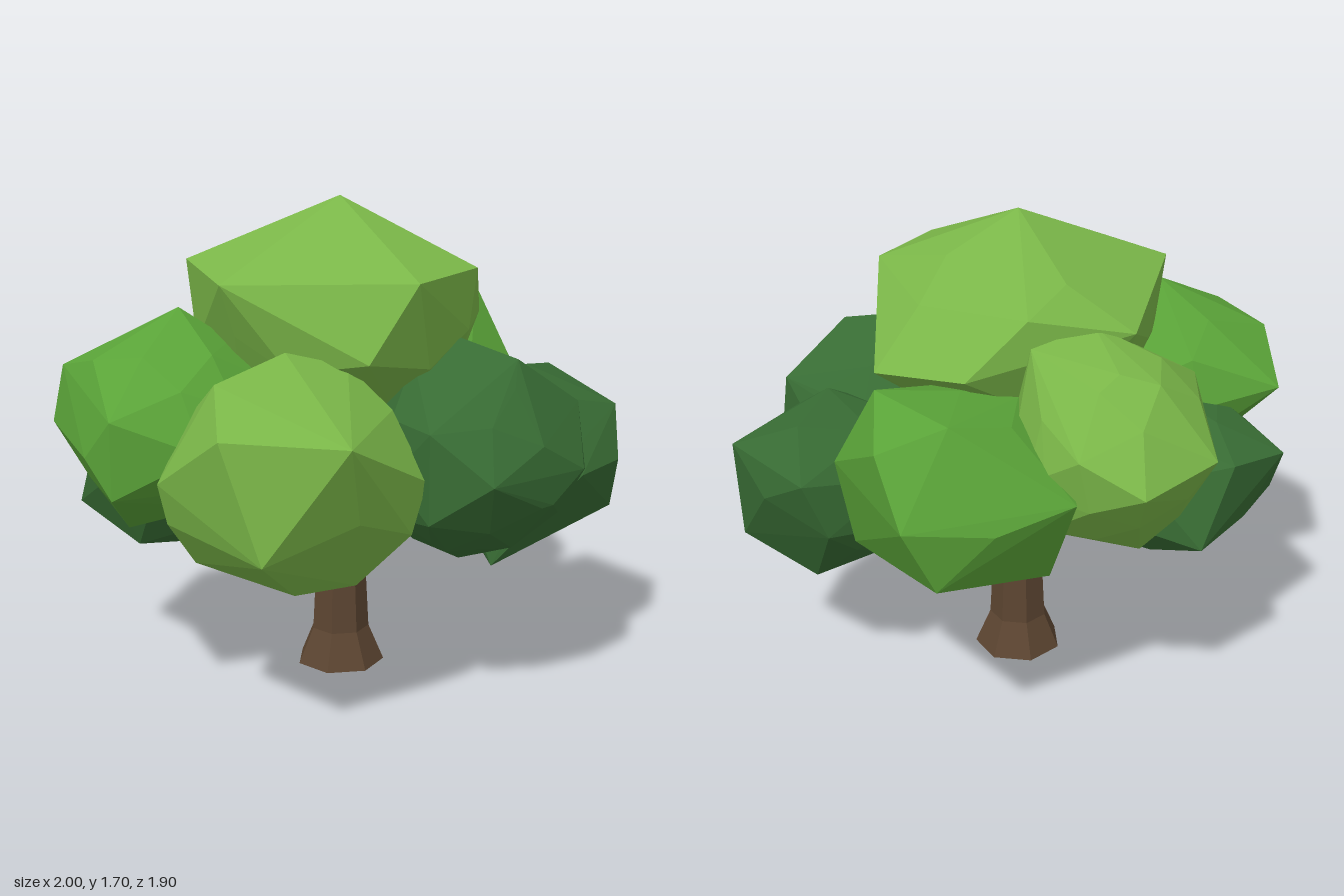
import * as THREE from 'three';
import { ConvexGeometry } from 'three/addons/geometries/ConvexGeometry.js';

const material = (color) => new THREE.MeshStandardMaterial({ color, flatShading: true, roughness: 1 });

// Faceted lump: a coarse ellipsoid wrapped together with its prominent corners
function foliageGeometry(centre, radii, corners) {
  const pos = new THREE.IcosahedronGeometry(0.93, 1).attributes.position;
  const unique = new Map();
  for (let i = 0; i < pos.count; i++) {
    const p = new THREE.Vector3().fromBufferAttribute(pos, i);
    const key = p.toArray().map((n) => Math.round(n * 1000)).join();
    unique.set(key, p.multiply(radii).add(centre));
  }
  return new ConvexGeometry([...unique.values(), ...corners.map((c) => new THREE.Vector3(...c))]);
}

// Tapered limb between two points
function limb(from, to, r0, r1, mat) {
  const dir = to.clone().sub(from);
  const mesh = new THREE.Mesh(new THREE.CylinderGeometry(r1, r0, dir.length(), 5), mat);
  mesh.position.copy(from).addScaledVector(dir, 0.5);
  mesh.quaternion.setFromUnitVectors(new THREE.Vector3(0, 1, 0), dir.normalize());
  return mesh;
}

export function createModel() {
  const tree = new THREE.Group();
  tree.name = 'tree';
  const bark = material(0x5c4531);
  const light = material(0x7ab648);
  const medium = material(0x5aa338);
  const dark = material(0x386c34);

  // Seven-sided trunk with flared foot
  const profile = [[0, 0], [0.16, 0], [0.105, 0.13], [0.078, 0.66], [0, 0.66]];
  const trunk = new THREE.Mesh(
    new THREE.LatheGeometry(profile.map(([r, y]) => new THREE.Vector2(r, y)), 7), bark);
  trunk.rotation.y = Math.PI;
  trunk.name = 'trunk';
  tree.add(trunk);

  // One leaf clump and the branch that carries it
  function addClump(name, mat, centreXYZ, radiiXYZ, corners) {
    const centre = new THREE.Vector3(...centreXYZ);
    const radii = new THREE.Vector3(...radiiXYZ);
    const clump = new THREE.Mesh(foliageGeometry(centre, radii, corners), mat);
    clump.name = name + 'Foliage';
    const start = new THREE.Vector3(centre.x * 0.08, 0.58, centre.z * 0.08);
    const branch = limb(start, centre, 0.034, 0.02, bark);
    branch.name = name + 'Branch';
    tree.add(clump, branch);
  }

  // Light clumps
  addClump('crown', light, [0, 1.27, 0.03], [0.5, 0.36, 0.5], [
    [0, 1.7, 0], [0.25, 1.56, 0], [0.17, 1.47, 0.53], [-0.53, 1.49, -0.02], [-0.45, 1.45, 0.33],
    [0.42, 1.48, 0.28], [0.11, 1.48, -0.46], [-0.06, 1.54, -0.33], [0.32, 1.3, -0.47],
    [0.55, 1.25, -0.19], [0, 1.22, 0.57], [-0.25, 1.4, -0.47], [-0.5, 1.2, 0]]);
  addClump('front', light, [-0.26, 0.88, 0.53], [0.4, 0.35, 0.4], [
    [-0.26, 1.26, 0.51], [-0.5, 1.2, 0.67], [-0.05, 1.2, 0.46], [-0.51, 1.07, 0.87],
    [-0.12, 1.05, 0.95], [-0.39, 0.69, 0.93], [-0.06, 0.53, 0.68], [-0.27, 0.54, 0.77],
    [0.12, 0.69, 0.68], [0.17, 0.86, 0.67], [0.08, 1.07, 0.55], [-0.68, 0.88, 0.63],
    [-0.65, 0.74, 0.6], [-0.56, 0.59, 0.55]]);
  addClump('back', light, [-0.14, 1.07, -0.54], [0.35, 0.34, 0.37], [
    [-0.11, 1.06, -0.95], [-0.39, 1.1, -0.84], [-0.12, 1.36, -0.67], [-0.12, 1.43, -0.43],
    [0.11, 1.4, -0.49], [-0.5, 1.2, -0.38], [-0.38, 0.78, -0.59], [-0.2, 0.74, -0.69],
    [0.12, 0.85, -0.67], [0.18, 1, -0.66], [0.06, 1.15, -0.82]]);

  // Medium clumps
  addClump('backLeft', medium, [0.32, 0.94, -0.42], [0.39, 0.34, 0.4], [
    [0.6, 1.3, -0.43], [0.43, 1.26, -0.68], [0.62, 1.0, -0.83], [0.66, 1.2, -0.68],
    [0.06, 1.0, -0.81], [0.33, 0.95, -0.84], [0.51, 0.77, -0.81], [0.1, 0.68, -0.67],
    [0.19, 0.61, -0.55], [0.51, 0.58, -0.35], [0.66, 0.7, -0.3], [0.72, 1.02, -0.33]]);
  addClump('right', medium, [-0.59, 0.97, 0.16], [0.39, 0.34, 0.4], [
    [-0.57, 1.35, 0.13], [-0.86, 1.2, 0.24], [-0.96, 1.15, 0.05], [-1, 0.95, 0.03],
    [-0.9, 0.92, 0.43], [-0.82, 1.06, 0.54], [-0.82, 0.8, 0.53], [-0.53, 0.95, 0.58],
    [-0.9, 1.02, -0.22], [-0.76, 0.62, 0.24]]);

  // Dark clumps
  addClump('frontLeftLow', dark, [0.38, 0.85, 0.35], [0.38, 0.36, 0.4], [
    [0.36, 1.25, 0.31], [0.2, 1.18, 0.3], [0.52, 1.2, 0.45], [0.36, 0.86, 0.78],
    [0.17, 1.02, 0.7], [0.17, 0.72, 0.7], [0.21, 0.62, 0.56], [0.72, 0.85, 0.57],
    [0.6, 0.75, 0.63], [0.78, 0.8, 0.4], [0.76, 1.03, 0.36], [0.36, 0.48, 0.33],
    [0.69, 0.65, 0.4]]);
  addClump('leftLow', dark, [0.64, 0.77, 0.04], [0.33, 0.31, 0.33], [
    [0.66, 1.1, 0.07], [0.8, 1.06, -0.12], [1, 0.94, 0.06], [0.98, 0.57, 0.1],
    [0.48, 0.44, 0.32], [0.83, 0.93, -0.31], [0.75, 0.73, -0.31], [0.78, 0.77, 0.38],
    [0.76, 0.46, -0.08], [0.97, 0.77, 0.2], [0.93, 0.82, -0.14]]);
  addClump('backRightLow', dark, [-0.5, 0.74, -0.15], [0.4, 0.31, 0.39], [
    [-0.84, 0.86, -0.41], [-0.92, 0.6, -0.17], [-0.88, 0.77, -0.07], [-0.48, 0.61, -0.56],
    [-0.6, 0.9, -0.53], [-0.48, 0.43, -0.16], [-0.72, 0.48, 0], [-0.28, 0.46, -0.1]]);
  return tree;
}
